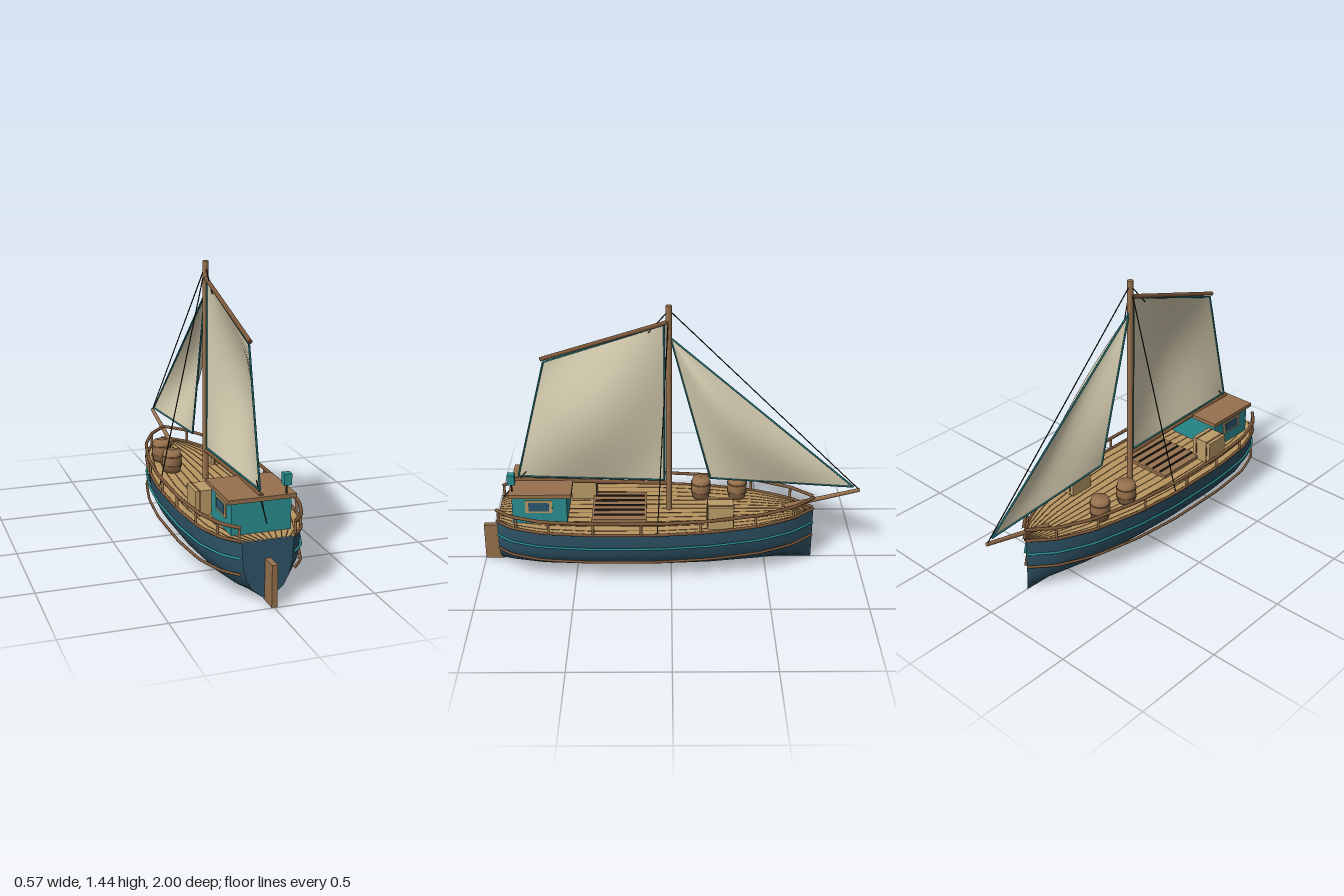
import * as THREE from 'three';

const mat = (name, color, side = THREE.FrontSide) => {
  const m = new THREE.MeshStandardMaterial({ color, side });
  m.name = name;
  return m;
};
const V = (x, y, z) => new THREE.Vector3(x, y, z);

export function createModel() {
  const boat = new THREE.Group();
  boat.name = 'sailingBoat';

  const hullBlue = mat('hullBlue', 0x2f5568);
  const teal = mat('teal', 0x2a9093);
  const wood = mat('wood', 0x97714d);
  const trim = mat('trimBrown', 0x7a5638);
  const deckWood = mat('deckWood', 0xb8955f);
  const crateWood = mat('crateWood', 0xbb9c68);
  const canvas = mat('canvas', 0xd8cfb2, THREE.DoubleSide);
  const dark = mat('darkRope', 0x2c2620);
  const glass = mat('glass', 0x2a5570);
  const edging = mat('sailEdging', 0x1f7076);

  const add = (name, geo, material, x = 0, y = 0, z = 0) => {
    const m = new THREE.Mesh(geo, material);
    m.name = name;
    m.position.set(x, y, z);
    boat.add(m);
    return m;
  };
  // box from its minimum and maximum corners
  const box = (name, material, x0, x1, y0, y1, z0, z1) =>
    add(name, new THREE.BoxGeometry(x1 - x0, y1 - y0, z1 - z0), material,
      (x0 + x1) / 2, (y0 + y1) / 2, (z0 + z1) / 2);
  // round bar between two points
  const rod = (name, material, a, b, r, r2 = r, sides = 10) => {
    const m = add(name, new THREE.CylinderGeometry(r2, r, a.distanceTo(b), sides), material);
    m.position.copy(a).add(b).multiplyScalar(0.5);
    m.quaternion.setFromUnitVectors(V(0, 1, 0), b.clone().sub(a).normalize());
    return m;
  };

  // deck outline: [z, half width], stern to bow
  const outline = [[0.91, 0.128], [0.83, 0.195], [0.67, 0.25], [0.42, 0.275], [0.07, 0.275],
    [-0.2, 0.247], [-0.46, 0.188], [-0.64, 0.105], [-0.755, 0.006]];
  const halfWidth = (z) => {
    for (let i = 1; i < outline.length; i++) {
      const [z0, w0] = outline[i - 1], [z1, w1] = outline[i];
      if (z >= z1) return w0 + (w1 - w0) * (z0 - z) / (z0 - z1);
    }
    return 0.006;
  };

  // hull lofted along the outline from one half section
  const half = [[1, 0.3], [0.98, 0.23], [0.94, 0.165], [0.82, 0.115], [0.65, 0.07], [0.33, 0.033]];
  const section = [...half, [0, 0.003], ...half.map(([w, y]) => [-w, y]).reverse()];
  const pos = [], idx = [], n = section.length;
  outline.forEach(([z, w], j) => section.forEach(([s, y], i) => {
    pos.push(s * w * 0.985, y, z);
    if (j < outline.length - 1 && i < n - 1) {
      const a = j * n + i, c = a + n;
      idx.push(a, a + 1, c, a + 1, c + 1, c);
    }
  }));
  const hullGeo = new THREE.BufferGeometry();
  hullGeo.setAttribute('position', new THREE.Float32BufferAttribute(pos, 3));
  hullGeo.setIndex(idx);
  hullGeo.computeVertexNormals();
  add('hull', hullGeo, hullBlue);
  const transom = new THREE.Shape(section.map(([s, y]) => new THREE.Vector2(s * 0.126, y)));
  add('transom', new THREE.ShapeGeometry(transom), hullBlue, 0, 0, 0.91);

  // deck with plank seams that follow the outline
  const deckShape = new THREE.Shape([
    ...outline.map(([z, w]) => new THREE.Vector2(w, -z)),
    ...outline.map(([z, w]) => new THREE.Vector2(-w, -z)).reverse()]);
  add('deck', new THREE.ShapeGeometry(deckShape).rotateX(-Math.PI / 2), deckWood, 0, 0.302, 0);
  for (let k = -5; k <= 5; k++) {
    for (let i = 1; i < outline.length; i++) {
      const p = outline.slice(i - 1, i + 1).map(([z, w]) => V(w * k / 6, 0.302, z));
      rod('plankSeam', trim, p[0], p[1], 0.0025, 0.0025, 4);
    }
  }

  // rails and rubbing strakes on both sides
  for (const s of [-1, 1]) {
    const strake = (name, material, y, r) => {
      const path = new THREE.CatmullRomCurve3(
        outline.map(([z, w]) => V(s * w, y, z)), false, 'catmullrom', 0.15);
      add(name, new THREE.TubeGeometry(path, 48, r, 8), material);
    };
    strake('topRail', trim, 0.37, 0.009);
    strake('gunwale', trim, 0.304, 0.008);
    strake('upperStrake', teal, 0.22, 0.006);
    strake('lowerStrake', trim, 0.142, 0.007);
    for (const z of [0.9, 0.8, 0.63, 0.4, 0.155, -0.15, -0.435, -0.64]) {
      const x = s * halfWidth(z);
      rod('railPost', wood, V(x, 0.3, z), V(x, 0.37, z), 0.007, 0.007, 8);
    }
  }

  box('rudder', wood, -0.014, 0.014, 0.005, 0.21, 0.9, 1);

  // cabin, roof, side windows
  box('cabin', teal, -0.147, 0.147, 0.3, 0.46, 0.54, 0.823);
  box('cabinRoof', wood, -0.167, 0.167, 0.458, 0.479, 0.515, 0.838);
  for (const s of [-1, 1]) {
    const x = s * 0.148;
    box('windowFrame', crateWood, x - 0.004, x + 0.004, 0.364, 0.436, 0.615, 0.755);
    box('windowPane', glass, x - 0.006, x + 0.006, 0.374, 0.426, 0.632, 0.738);
  }
  // stern lamp on its post
  rod('lampPost', dark, V(0.122, 0.47, 0.822), V(0.122, 0.53, 0.822), 0.004);
  box('lamp', teal, 0.103, 0.141, 0.522, 0.578, 0.803, 0.841);

  // cargo hatch with dark slats
  box('hatch', wood, -0.143, 0.143, 0.3, 0.32, 0.13, 0.415);
  for (let i = 0; i < 5; i++) {
    const x = -0.1 + i * 0.05;
    box('hatchSlat', dark, x - 0.004, x + 0.004, 0.318, 0.328, 0.14, 0.405);
  }

  // crates with straps
  for (const [x, z] of [[0.157, -0.253], [-0.167, 0.468]]) {
    box('crate', crateWood, x - 0.058, x + 0.058, 0.3, 0.428, z - 0.066, z + 0.066);
    for (const d of [-0.035, 0.035])
      box('crateStrap', trim, x + d - 0.005, x + d + 0.005, 0.3, 0.43, z - 0.069, z + 0.069);
  }

  // barrels with hoops
  const barrel = [[0, 0], [0.044, 0], [0.051, 0.035], [0.052, 0.06], [0.051, 0.085], [0.044, 0.115], [0, 0.115]]
    .map(([r, y]) => new THREE.Vector2(r, y));
  for (const z of [-0.355, -0.16]) {
    add('barrel', new THREE.LatheGeometry(barrel, 20), wood, -0.13, 0.302, z);
    for (const y of [0.337, 0.387])
      add('barrelHoop', new THREE.CylinderGeometry(0.0535, 0.0535, 0.008, 20), trim, -0.13, y, z);
  }

  // spars
  rod('mast', wood, V(0, 0.3, 0.012), V(0, 1.445, 0.012), 0.016, 0.015, 14);
  rod('bowsprit', wood, V(0, 0.315, -0.6), V(0, 0.412, -0.995), 0.013, 0.01);
  rod('gaff', trim, V(0, 1.358, 0.02), V(0, 1.162, 0.655), 0.011);
  rod('boom', trim, V(0, 0.457, 0.02), V(0, 0.481, 0.82), 0.011);

  // sails bulging to the left, with corded edges; corners as [z, y]
  const sail = (name, tack, clew, peak, head) => {
    const N = 16, p = [], ix = [];
    const at = (u, v) => {
      const c = [0, 1].map((k) => (1 - v) * ((1 - u) * tack[k] + u * clew[k]) +
        v * ((1 - u) * head[k] + u * peak[k]));
      return V(0.08 * Math.sin(Math.PI * u) * Math.sin(Math.PI * v), c[1], c[0]);
    };
    for (let j = 0; j <= N; j++) for (let i = 0; i <= N; i++) {
      p.push(...at(i / N, j / N).toArray());
      if (i < N && j < N) {
        const a = j * (N + 1) + i, c = a + N + 1;
        ix.push(a, c, a + 1, a + 1, c, c + 1);
      }
    }
    const g = new THREE.BufferGeometry();
    g.setAttribute('position', new THREE.Float32BufferAttribute(p, 3));
    g.setIndex(ix);
    g.computeVertexNormals();
    add(name, g, canvas);
    const corners = [tack, clew, peak, head];
    corners.forEach((a, i) => {
      const b = corners[(i + 1) % 4];
      if (a !== b) rod(name + 'Edge', edging, V(0, a[1], a[0]), V(0, b[1], b[0]), 0.005, 0.005, 6);
    });
  };
  sail('mainSail', [0.035, 0.475], [0.8, 0.5], [0.64, 1.148], [0.035, 1.345]);
  const jibHead = [0.003, 1.275];
  sail('jib', [-0.96, 0.43], [-0.205, 0.485], jibHead, jibHead);

  // rigging
  const rope = (name, a, b) => rod(name, dark, a, b, 0.003, 0.003, 6);
  rope('forestay', V(0, 1.41, 0), V(0, 0.415, -0.99));
  rope('gaffHalyard', V(0, 1.41, 0.02), V(0, 1.295, 0.12));
  rope('mainSheet', V(0, 0.53, 0.755), V(0, 0.37, 0.89));
  for (const s of [-1, 1]) rope('shroud', V(s * 0.012, 1.37, 0.015), V(s * 0.266, 0.31, 0.072));

  return boat;
}
